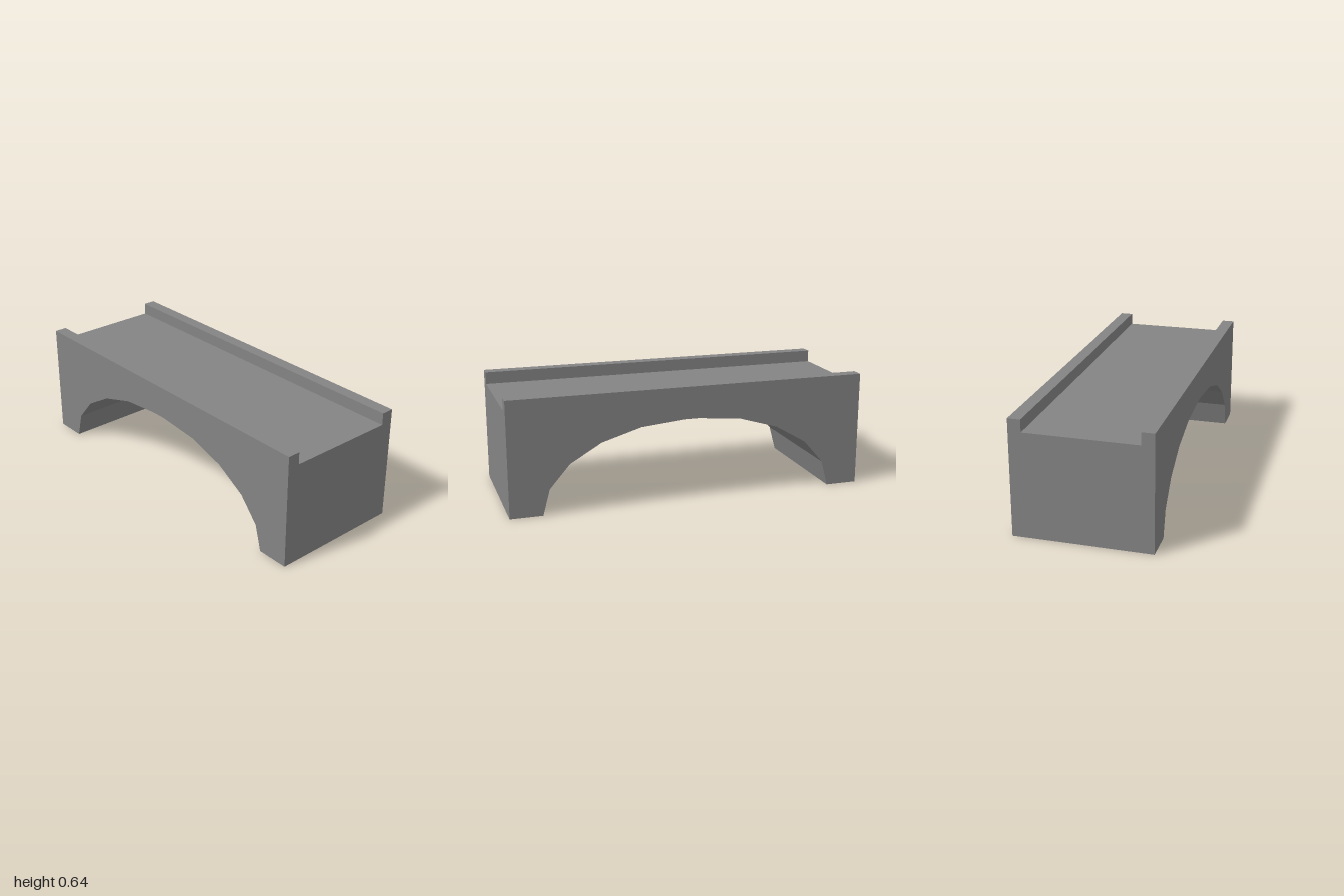
import * as THREE from 'three';

export function createModel() {
  const group = new THREE.Group();
  const material = new THREE.MeshStandardMaterial({ color: 0x848484, flatShading: true });
  const halfWidth = 0.373, halfLength = 1, deckY = 0.571, topY = 0.638;
  const parapetWidth = 0.069;

  // Side profile: a block with a faceted elliptical arch and a short flat crown
  const crown = 0.04, springZ = 0.822, archHeight = 0.46, steps = 5;
  const arch = [];
  for (let i = 0; i <= steps; i++) {
    const a = (i / steps) * Math.PI / 2;
    arch.push(new THREE.Vector2(crown + (springZ - crown) * Math.cos(a), archHeight * Math.sin(a)));
  }
  const mirroredArch = arch.map(p => new THREE.Vector2(-p.x, p.y));
  const profile = new THREE.Shape([
    new THREE.Vector2(halfLength, 0),
    new THREE.Vector2(halfLength, deckY),
    new THREE.Vector2(-halfLength, deckY),
    new THREE.Vector2(-halfLength, 0),
    ...mirroredArch,
    ...arch.reverse(),
  ]);

  // Extrude across the width, with the profile running along z
  const bodyGeometry = new THREE.ExtrudeGeometry(profile, { depth: 2 * halfWidth, bevelEnabled: false });
  bodyGeometry.translate(0, 0, -halfWidth).rotateY(-Math.PI / 2);
  const body = new THREE.Mesh(bodyGeometry, material);
  body.name = 'archedDeck';
  group.add(body);

  // Low parapets along both edges of the deck
  for (const [name, side] of [['leftParapet', 1], ['rightParapet', -1]]) {
    const parapet = new THREE.Mesh(
      new THREE.BoxGeometry(parapetWidth, topY - deckY, 2 * halfLength), material);
    parapet.position.set(side * (halfWidth - parapetWidth / 2), (topY + deckY) / 2, 0);
    parapet.name = name;
    group.add(parapet);
  }
  return group;
}
